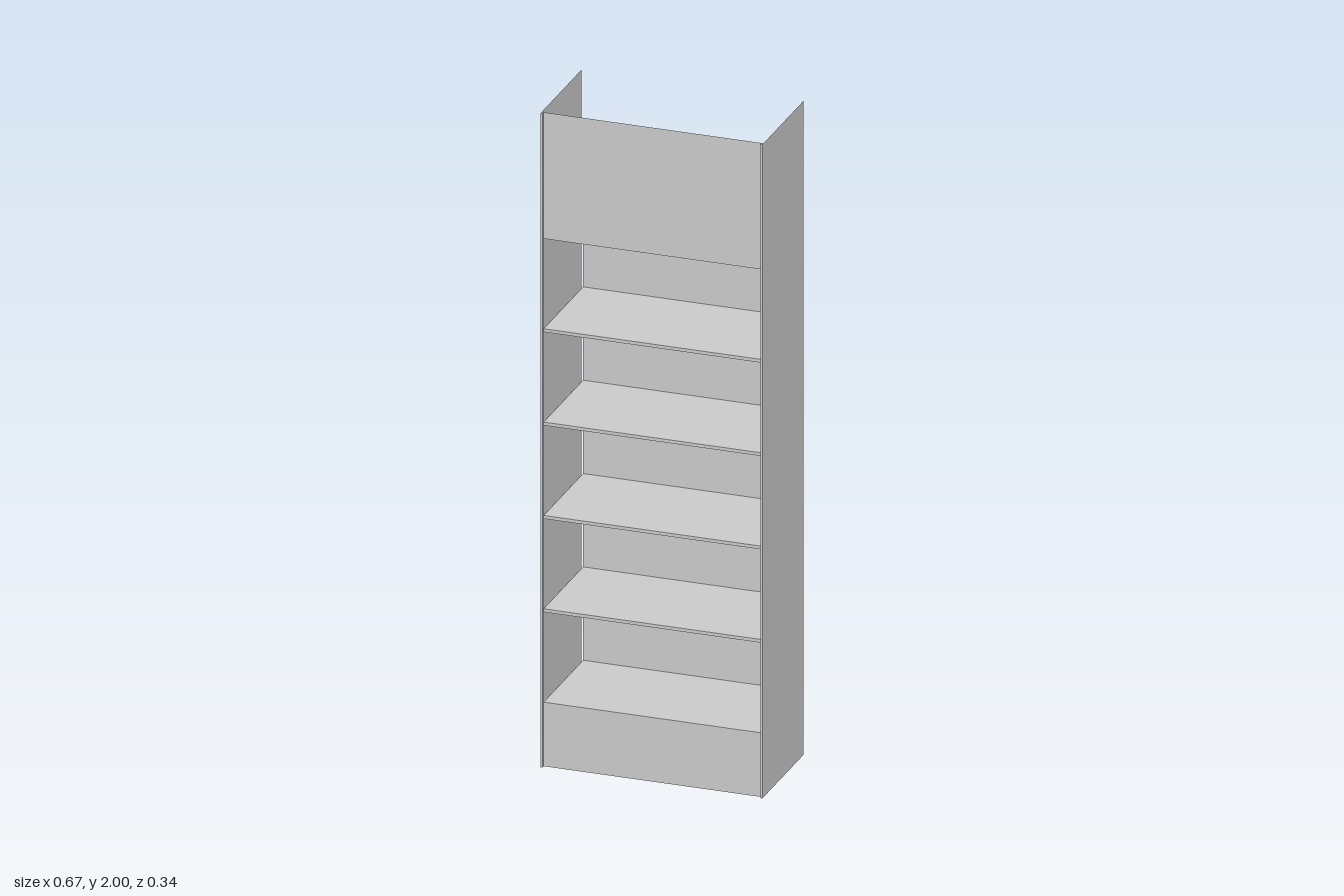
import * as THREE from 'three';

const W = 0.654, HALF = W / 2;        // clear width between the sides
const FRONT = 0.16, BACK = -0.17;     // depth of shelves
const EDGE = 0.17, SIDE_X = 0.333;    // outer reach of the side sheets
const PITCH = 0.2855, FIRST = 0.196, T = 0.01;

export function createModel() {
  const group = new THREE.Group();
  const mat = new THREE.MeshStandardMaterial({ color: 0xcccccc, side: THREE.DoubleSide });

  const add = (name, geometry, x, y, z) => {
    const mesh = new THREE.Mesh(geometry, mat);
    mesh.name = name;
    mesh.position.set(x, y, z);
    group.add(mesh);
    return mesh;
  };
  // Upright sheet across the width, between two heights
  const sheet = (name, y0, y1, z) =>
    add(name, new THREE.PlaneGeometry(W, y1 - y0), 0, (y0 + y1) / 2, z);

  // Side sheets with a narrow folded front edge
  for (const [s, label] of [[1, 'left'], [-1, 'right']]) {
    const side = add(label + 'Side', new THREE.PlaneGeometry(2 * EDGE, 2), s * SIDE_X, 1, 0);
    side.rotation.y = s * Math.PI / 2;
    add(label + 'FrontEdge', new THREE.BoxGeometry(SIDE_X - HALF, 2, EDGE - FRONT),
      s * (SIDE_X + HALF) / 2, 1, (EDGE + FRONT) / 2);
  }

  // Base panel and tall header panel
  sheet('basePanel', 0, FIRST, FRONT);
  const roofY = FIRST + 5 * PITCH - T;
  sheet('headerPanel', roofY, 2, FRONT);

  // Shelves, each with a back panel up to the next one
  for (let i = 0; i < 5; i++) {
    const top = FIRST + i * PITCH;
    add('shelf' + (i + 1), new THREE.BoxGeometry(W, T, FRONT - BACK),
      0, top - T / 2, (FRONT + BACK) / 2);
    sheet('backPanel' + (i + 1), top, top + PITCH - T, BACK + 0.005);
  }

  // Thin roof sheet closing the top compartment
  const roof = add('roofSheet', new THREE.PlaneGeometry(W, FRONT - BACK), 0, roofY, (FRONT + BACK) / 2);
  roof.rotation.x = -Math.PI / 2;

  return group;
}
